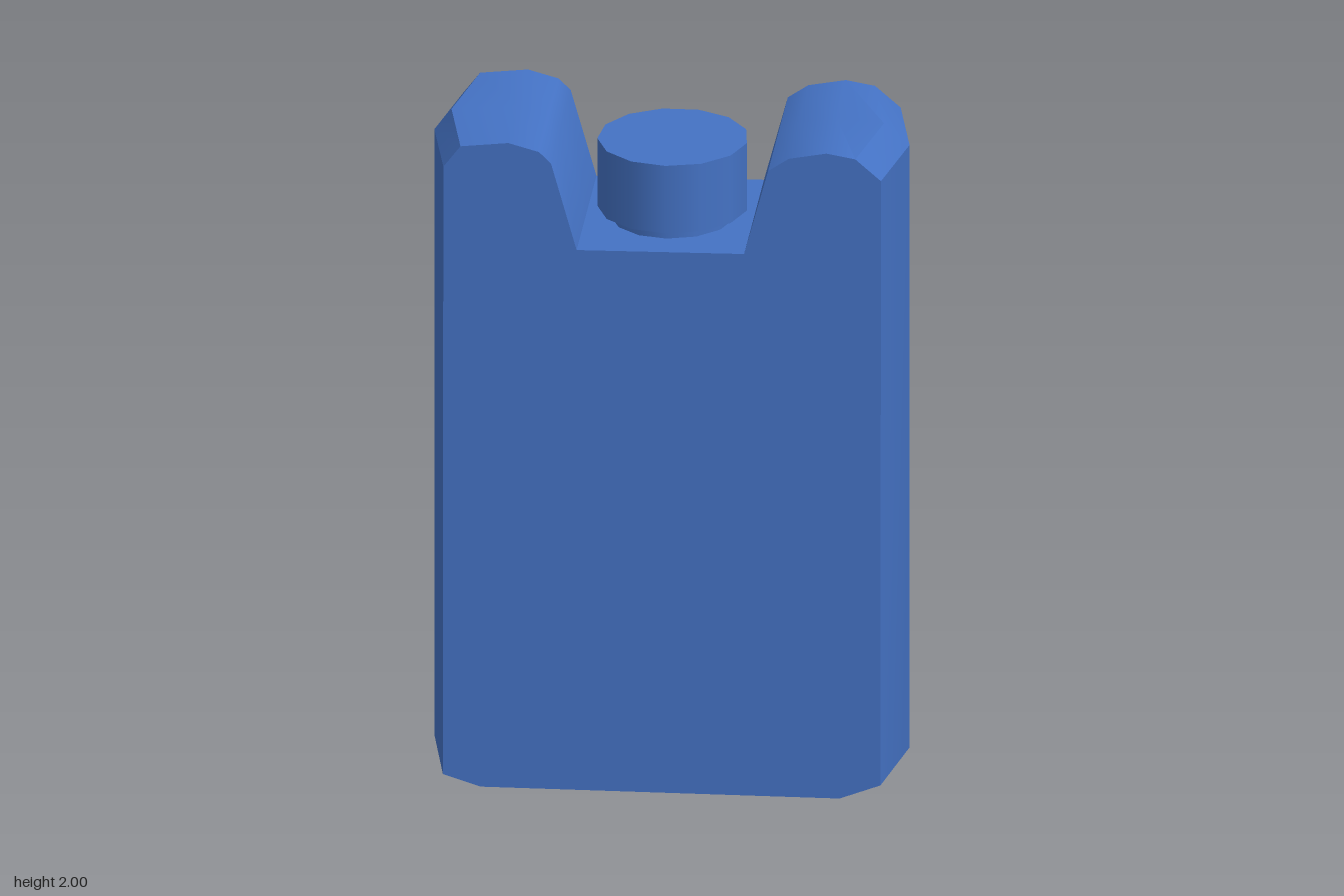
import * as THREE from 'three';
import { toCreasedNormals } from 'three/addons/utils/BufferGeometryUtils.js';

export function createModel() {
  const group = new THREE.Group();
  group.name = 'flask';
  const blue = new THREE.MeshStandardMaterial({ color: 0x4472c4 });
  blue.name = 'blue';

  // Body: front outline with two shoulders and a notch for the neck
  const outline = [
    [-0.53, 0], [0.52, 0], [0.64, 0.045], [0.64, 1.92], [0.565, 1.985],
    [0.48, 2], [0.37, 1.98], [0.31, 1.94], [0.24, 1.68],
    [-0.25, 1.675], [-0.325, 1.94], [-0.36, 1.975], [-0.45, 2],
    [-0.59, 1.985], [-0.64, 1.92], [-0.64, 0.035],
  ].map(([x, y]) => new THREE.Vector2(x, y));
  const bodyGeo = new THREE.ExtrudeGeometry(new THREE.Shape(outline), {
    depth: 2, steps: 2, bevelEnabled: false,
  });
  bodyGeo.translate(0, 0, -1);

  // The sides swell to a ridge halfway through; the thickness tapers upward
  const p = bodyGeo.attributes.position;
  for (let i = 0; i < p.count; i++) {
    const x = p.getX(i), y = p.getY(i), z = p.getZ(i);
    if (Math.abs(x) > 0.55 && Math.abs(z) < 0.5) p.setX(i, x + Math.sign(x) * 0.055);
    p.setZ(i, Math.round(z) * (0.305 + 0.008 * (2 - y)));
  }
  const body = new THREE.Mesh(toCreasedNormals(bodyGeo, 0.6), blue);
  body.name = 'body';
  group.add(body);

  // Neck and screw cap
  const addDisc = (name, radius, y0, y1) => {
    const geo = new THREE.CylinderGeometry(radius, radius, y1 - y0, 13);
    geo.scale(0.95, 1, 1.03);
    const mesh = new THREE.Mesh(geo, blue);
    mesh.name = name;
    mesh.position.set(0.003, (y0 + y1) / 2, 0);
    group.add(mesh);
  };
  addDisc('neck', 0.19, 1.64, 1.73);
  addDisc('cap', 0.232, 1.71, 1.92);

  return group;
}
